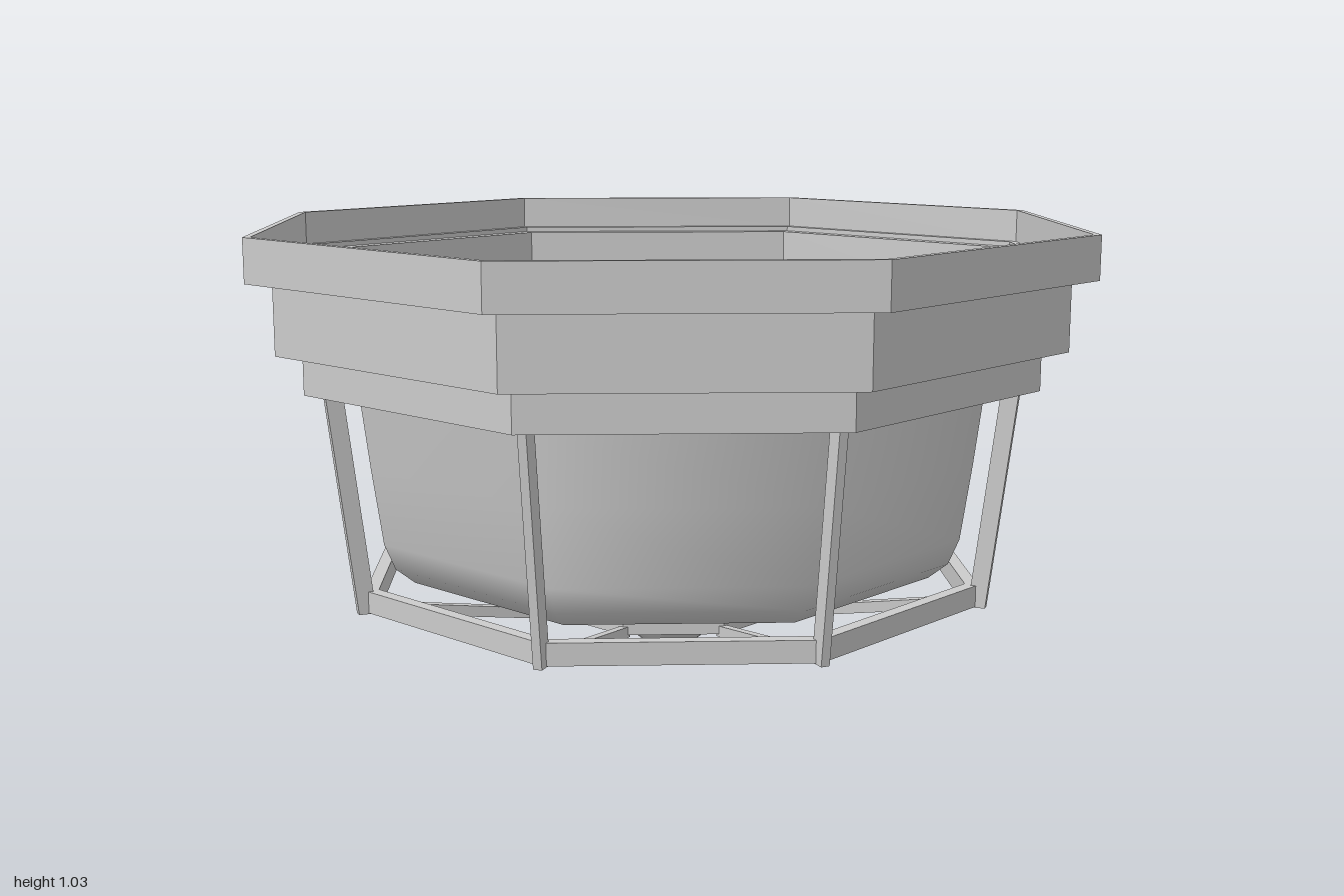
import * as THREE from 'three';

const SIDES = 8;
const flat = new THREE.MeshStandardMaterial({ color: 0xcccccc, flatShading: true });
const smooth = new THREE.MeshStandardMaterial({ color: 0xcccccc });

const toPoints = (list) => list.map(([r, y]) => new THREE.Vector2(r, y));

// Octagonal solid of revolution; profile is [radius, height], counter-clockwise
function octagon(name, profile, material = flat) {
  const mesh = new THREE.Mesh(new THREE.LatheGeometry(toPoints(profile), SIDES), material);
  mesh.name = name;
  return mesh;
}

// Thin bar: outline in the radius/height plane, extruded to the given width
function barGeometry(outline, width) {
  const geo = new THREE.ExtrudeGeometry(new THREE.Shape(toPoints(outline)), { depth: width, bevelEnabled: false });
  return geo.translate(0, 0, -width / 2);
}

export function createModel() {
  const model = new THREE.Group();
  model.name = 'ceilingLight';

  // Stepped thin-walled housing, open at the top, with a floor around the bowl
  model.add(octagon('housing', [
    [0.75, 0.68], [0.88, 0.68], [0.88, 0.77], [0.94, 0.77], [0.94, 0.93], [1, 0.93], [1, 1.03],
    [0.983, 1.03], [0.983, 0.95], [0.963, 0.95], [0.963, 0.938], [0.928, 0.938], [0.928, 0.778],
    [0.872, 0.778], [0.872, 0.69], [0.75, 0.69], [0.75, 0.68],
  ]));

  // Smooth glass bowl and its flat cover
  model.add(octagon('bowl', [
    [0, 0.13], [0.3, 0.165], [0.58, 0.212], [0.64, 0.228], [0.685, 0.265], [0.71, 0.325],
    [0.735, 0.5], [0.755, 0.66], [0.768, 0.765],
  ], smooth));
  model.add(octagon('bowlCover', [[0.768, 0.765], [0, 0.765]]));

  // Cage rings
  model.add(octagon('outerRing', [
    [0.725, 0.172], [0.757, 0.172], [0.757, 0.222], [0.725, 0.222], [0.725, 0.172],
  ]));
  model.add(octagon('innerRing', [
    [0.27, 0.108], [0.302, 0.108], [0.302, 0.135], [0.27, 0.135], [0.27, 0.108],
  ]));

  // Cage posts and spokes at each corner
  const post = barGeometry([[0.735, 0.17], [0.775, 0.17], [0.84, 0.715], [0.8, 0.715]], 0.02);
  const spoke = barGeometry([[0.285, 0.1], [0.75, 0.17], [0.75, 0.197], [0.285, 0.125]], 0.02);
  for (let i = 0; i < SIDES; i++) {
    const rib = new THREE.Group();
    rib.name = 'cageRib';
    for (const [name, geo] of [['post', post], ['spoke', spoke]]) {
      const mesh = new THREE.Mesh(geo, flat);
      mesh.name = name;
      rib.add(mesh);
    }
    rib.rotation.y = (i * Math.PI * 2) / SIDES;
    model.add(rib);
  }

  // Round finial under the bowl
  const finial = new THREE.Mesh(new THREE.SphereGeometry(0.13, 24, 16), smooth);
  finial.name = 'finial';
  finial.position.y = 0.13;
  model.add(finial);

  return model;
}
